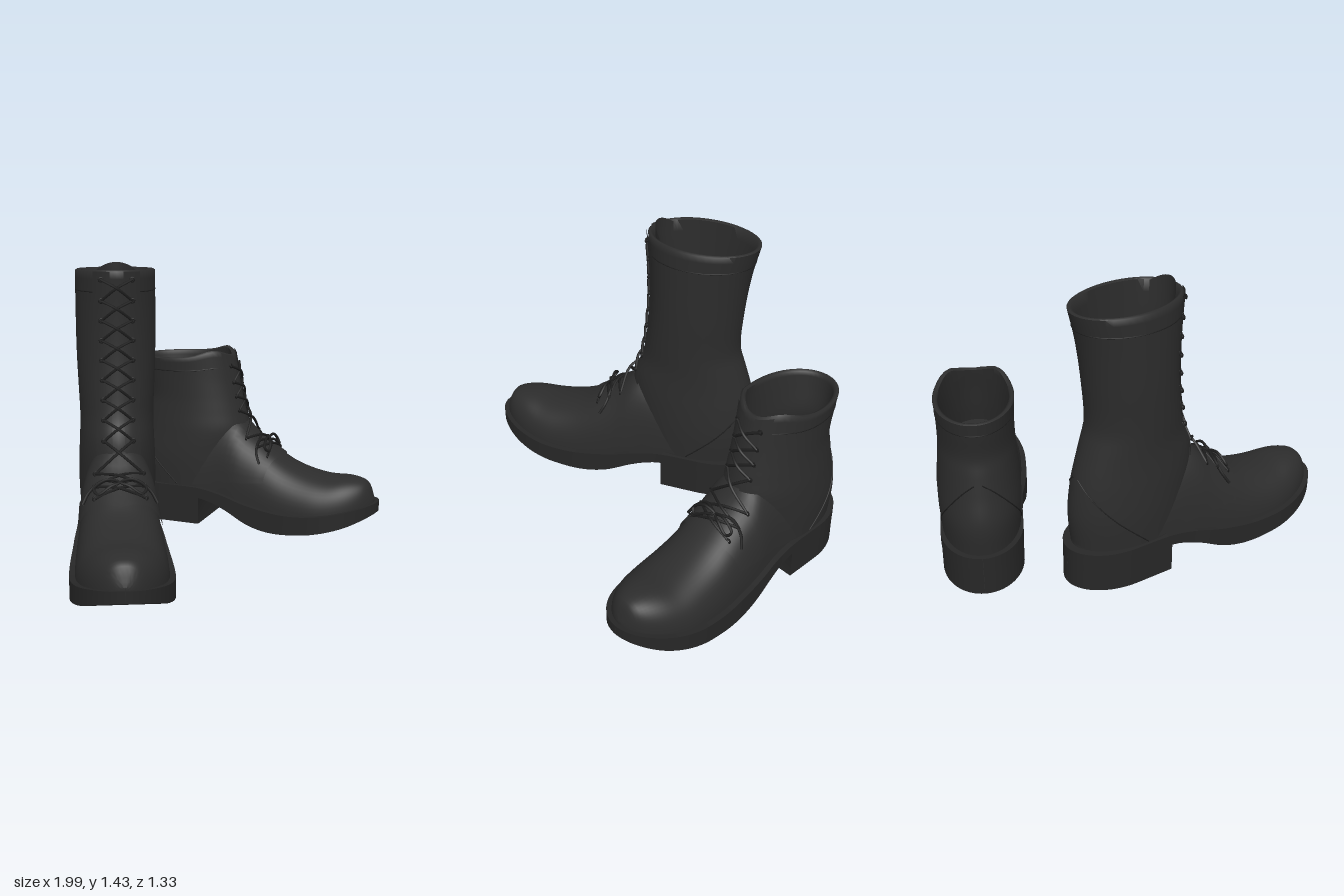
import * as THREE from 'three';
import { toCreasedNormals } from 'three/addons/utils/BufferGeometryUtils.js';

const paint = (name, color) => {
  const m = new THREE.MeshStandardMaterial({ color, side: THREE.DoubleSide });
  m.name = name;
  return m;
};
const leather = paint('black leather', 0x2c2c2c);
const rubber = paint('sole rubber', 0x272727);
const cord = paint('lace cord', 0x1d1d1d);

// Foot tables along the boot: [distance towards toe, value]
const HALF = [[-0.21, 0.2], [0.1, 0.205], [0.3, 0.21], [0.45, 0.228], [0.7, 0.247], [0.95, 0.24], [1.14, 0.23]];
const TOP = [[-0.18, 0.3], [0, 0.42], [0.3, 0.57], [0.4, 0.56], [0.47, 0.49], [0.6, 0.395], [0.68, 0.345], [0.78, 0.308],
  [0.88, 0.29], [0.98, 0.293], [1.05, 0.283], [1.09, 0.258], [1.12, 0.18]];
const WELT = [[-0.21, 0.2], [0.2, 0.2], [0.35, 0.175], [0.5, 0.135], [0.7, 0.108], [0.9, 0.12], [1.14, 0.172]];
const TREAD = [[-0.21, 0.14], [0.2, 0.145], [0.27, 0.135], [0.38, 0.095], [0.5, 0.035], [0.6, 0.01], [0.7, 0.006],
  [0.85, 0.022], [1, 0.06], [1.14, 0.12]];

// Smooth value of a table column at x
function at(rows, x, col = 1) {
  const n = rows.length - 1;
  x = Math.min(Math.max(x, rows[0][0]), rows[n][0]);
  let i = 0;
  while (i < n - 1 && x > rows[i + 1][0]) i++;
  const slope = k => {
    const a = rows[Math.max(k - 1, 0)], b = rows[Math.min(k + 1, n)];
    return (b[col] - a[col]) / (b[0] - a[0]);
  };
  const d = rows[i + 1][0] - rows[i][0], t = (x - rows[i][0]) / d, s = t * t * (3 - 2 * t);
  return rows[i][col] * (1 - s) + rows[i + 1][col] * s
    + d * (slope(i) * t * (1 - t) ** 2 - slope(i + 1) * t * t * (1 - t));
}

// Skin over a list of point rings
function loft(rings, closed, crease = 0.8) {
  const n = rings[0].length, index = [];
  for (let i = 0; i < rings.length - 1; i++) {
    for (let j = 0; j < (closed ? n : n - 1); j++) {
      const a = i * n + j, b = i * n + (j + 1) % n;
      index.push(a, b, a + n, b, b + n, a + n);
    }
  }
  const g = new THREE.BufferGeometry();
  g.setAttribute('position', new THREE.Float32BufferAttribute(rings.flat(2), 3));
  g.setIndex(index);
  return toCreasedNormals(g, crease);
}

const range = (n, f) => Array.from({ length: n + 1 }, (_, i) => f(i / n));
// Stations that bunch up at both ends
const stations = (lo, hi, n, f) => range(n, t => f(lo + (hi - lo) * (1 - Math.cos(Math.PI * t)) / 2));
// Rounds a plan outline off at heel and toe
function rounding(u, lo, hi, rl, rh) {
  const k = Math.max((lo + rl - u) / rl, (u - hi + rh) / rh, 0);
  return Math.sqrt(Math.max(1 - k * k, 0.00002));
}

function makeBoot({ name, rows, su, sw, rimLift, tongueTop, laceStep, collar }) {
  const boot = new THREE.Group();
  boot.name = name;
  const add = (part, geometry, material) => {
    const m = new THREE.Mesh(geometry, material);
    m.name = part;
    boot.add(m);
  };
  const yTop = rows[rows.length - 1][0];

  // Point on the shaft; angle 0 is the front
  const shaft = (y, q, out = 0) => {
    const back = at(rows, y, 1), front = at(rows, y, 2), w = at(rows, y, 3);
    const fade = Math.max(0, 1 - (yTop - y) / 0.12);
    return [(w + out) * Math.sin(q), y + fade * rimLift(q),
      (back + front) / 2 + ((front - back) / 2 + out) * Math.cos(q)];
  };
  // Point on the domed foot; angle runs over the top from side to side
  const foot = (u, q, out = 0) => {
    const w = (at(HALF, u) - 0.027) * rounding(u, -0.175, 1.12, 0.24, 0.32) * sw + out;
    const y0 = at(WELT, u) - 0.02, h = at(TOP, u) - y0 + out;
    const c = Math.cos(q);
    return [w * Math.sign(c) * Math.abs(c) ** 0.85, y0 + h * Math.max(Math.sin(q), 0) ** 0.85, u * su];
  };
  const tube = (part, points, r, material, n = 20, closed = false) => {
    const curve = new THREE.CatmullRomCurve3(points.map(p => new THREE.Vector3(...p)), closed);
    add(part, new THREE.TubeGeometry(curve, n, r, 6, closed), material);
  };

  // Shaft: outside, rim, then lining down to the insole
  const ring = (y, out) => range(47, t => shaft(y, t * Math.PI * 2 * 47 / 48, out));
  const wall = range(36, t => ring(0.18 + (yTop - 0.18) * t, 0));
  wall.push(ring(yTop + 0.006, -0.009));
  wall.push(...range(14, t => ring(yTop - (yTop - 0.59) * t, -0.022)));
  const [, fy, fz] = shaft(0.58, Math.PI / 2);
  wall.push(wall[0].map(() => [0, fy, fz]));
  add('shaft', loft(wall, true, 1.1), leather);

  // Foot, and the quarters laid over the instep
  add('vamp', loft(stations(-0.175, 1.12, 60, u => range(28, t => foot(u, Math.PI * t))), false, 1.2), leather);
  add('quarters', loft(range(16, t => range(24, s => {
    const low = 0.05 + 0.4 * t * t, a = low + (Math.PI - 2 * low) * s;
    return foot(0.15 + (0.5 - 0.08 * Math.abs(Math.cos(a))) * t, a, 0.009);
  })), false, 1.2), leather);

  // Welted sole with arch and toe spring, and the stacked heel
  const slab = (u, w, lo, hi) => [[-w, lo, u * su], [w, lo, u * su], [w, hi, u * su], [-w, hi, u * su]];
  add('sole', loft(stations(-0.21, 1.142, 72, u =>
    slab(u, at(HALF, u) * rounding(u, -0.21, 1.142, 0.25, 0.34) * sw, at(TREAD, u), at(WELT, u))), true, 0.6), rubber);
  const heel = stations(-0.21, 0.225, 32, u =>
    slab(u, at(HALF, u) * rounding(u, -0.21, 2, 0.25, 0.2) * sw * 0.99, 0, 0.17));
  heel.push(heel[32].map(() => [0, 0.085, 0.2 * su]));
  add('heel', loft(heel, true, 0.6), rubber);

  // Tongue inside the front opening
  add('tongue', loft(range(12, t => range(12, s => {
    const q = (s - 0.5) * 1.3, y = 0.6 + (tongueTop - 0.6) * t - (t === 1 ? 0.1 * q * q : 0);
    const p = shaft(Math.min(y, yTop), q, -0.035);
    return [p[0], y, p[2]];
  })), false), leather);

  // Eyelet facings, heel counter seams and laces on both sides
  const eyelets = [];
  for (const u of [0.58, 0.52, 0.46]) eyelets.push(s => foot(u, Math.PI / 2 - s * 0.5, 0.014));
  for (let y = 0.61; y < yTop - 0.02; y += laceStep) eyelets.push(s => shaft(y, s * 0.36, 0.012));
  for (const s of [-1, 1]) {
    add('facing', loft(range(20, t => range(6, k =>
      shaft(0.54 + (yTop - 0.54) * t, s * (0.16 + 0.42 * k), 0.007))), false), leather);
    tube('counterSeam', range(10, t => shaft(0.56 - 0.35 * t, s * (Math.PI - 0.1 - 1.45 * t ** 0.8), 0.001)), 0.003, cord);
    eyelets.forEach((e, k) => {
      const eye = new THREE.TorusGeometry(0.01, 0.004, 5, 10);
      eye.translate(...e(s));
      add('eyelet', eye, cord);
      if (k === eyelets.length - 1) return;
      const a = e(s), b = eyelets[k + 1](-s);
      const lift = k < 3 ? 0.026 : 0.01;
      const mid = [0, (a[1] + b[1]) / 2 + lift, (a[2] + b[2]) / 2 + 0.02 + s * 0.004];
      tube('lace', [a, mid, b], 0.007, cord, 12);
    });
    // Bow loop and loose end
    const [, ky, kz] = foot(0.55, Math.PI / 2, 0.025);
    tube('bowLoop', [[0, ky, kz], [s * 0.06, ky + 0.015, kz + 0.005], [s * 0.12, ky - 0.025, kz + 0.015],
      [s * 0.1, ky - 0.045, kz + 0.03], [s * 0.04, ky - 0.01, kz + 0.02]], 0.007, cord, 24, true);
    tube('laceEnd', [[0, ky, kz], [s * 0.08, ky, kz - 0.03], [s * 0.14, ky - 0.05, kz - 0.025],
      [s * 0.17, ky - 0.1, kz]], 0.007, cord);
  }

  // Stitching under the collar
  tube('collarStitch', range(30, t => shaft(collar, 0.6 + t * (Math.PI * 2 - 1.2), -0.001)), 0.003, cord, 60);
  return boot;
}

export function createModel() {
  const model = new THREE.Group();
  model.name = 'pairOfBoots';

  // Shaft rows: height, back, front, half width
  const tall = makeBoot({
    name: 'tallBoot', su: 1.075, sw: 0.94, laceStep: 0.092, tongueTop: 1.43, collar: 1.29,
    rows: [[0.18, -0.185, 0.42, 0.178], [0.35, -0.2, 0.43, 0.187], [0.5, -0.185, 0.445, 0.185], [0.6, -0.162, 0.435, 0.18],
      [0.7, -0.13, 0.395, 0.178], [0.8, -0.1, 0.375, 0.182], [1, -0.11, 0.355, 0.19], [1.2, -0.137, 0.355, 0.192], [1.38, -0.178, 0.37, 0.192]],
    rimLift: q => 0.008 * Math.cos(q),
  });
  tall.position.set(-0.023, 0, -0.377);
  tall.rotation.y = Math.atan2(-0.76, 0.645);

  const short = makeBoot({
    name: 'shortBoot', su: 1.01, sw: 0.97, laceStep: 0.075, tongueTop: 0.885, collar: 0.82,
    rows: [[0.18, -0.185, 0.4, 0.187], [0.35, -0.2, 0.42, 0.197], [0.5, -0.168, 0.44, 0.193], [0.6, -0.147, 0.42, 0.185],
      [0.68, -0.132, 0.4, 0.18], [0.8, -0.152, 0.375, 0.18], [0.885, -0.165, 0.355, 0.185]],
    rimLift: q => {
      const front = Math.abs(Math.atan2(Math.sin(q), Math.cos(q)));
      return 0.008 * Math.cos(q) + 0.03 * Math.exp(-(((front - 0.75) / 0.4) ** 2));
    },
  });
  short.position.set(0.567, 0, -0.455);
  short.rotation.y = Math.atan2(0.237, 0.971);

  model.add(tall, short);
  return model;
}
